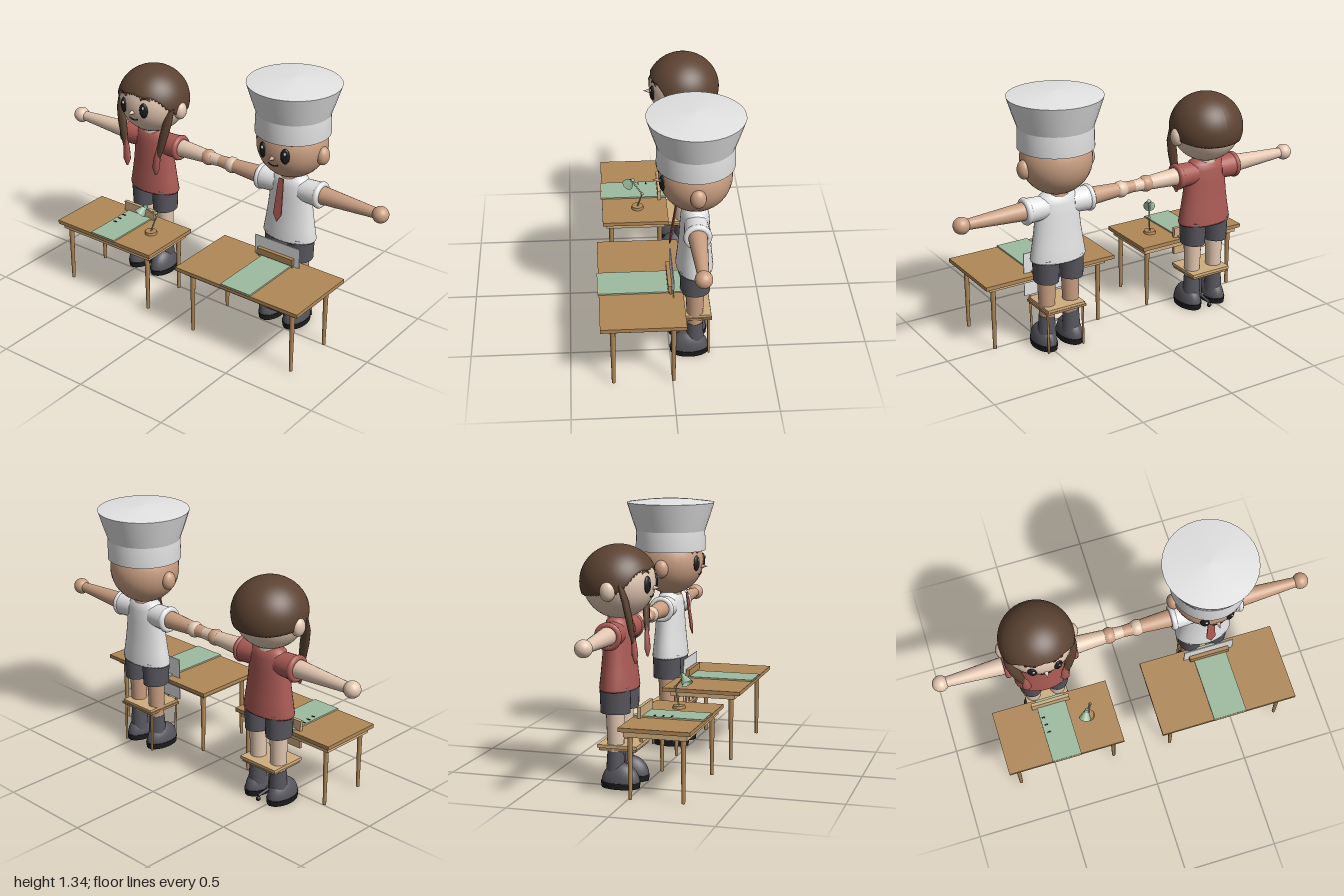
import * as THREE from 'three';

const mat = (name, color, extra = {}) => {
  const m = new THREE.MeshStandardMaterial({ color, ...extra });
  m.name = name;
  return m;
};

export function createModel() {
  const root = new THREE.Group();
  root.name = 'twoPeopleAtDesks';
  const D = { side: THREE.DoubleSide };
  const fair = mat('fairSkin', 0xe3c8b2), tan = mat('tanSkin', 0xc99f82);
  const red = mat('red', 0xab5b55, D), white = mat('white', 0xe4e4e4, D);
  const grey = mat('darkGrey', 0x55555c), black = mat('black', 0x1c1c1e);
  const wood = mat('wood', 0xb08858), pale = mat('paleWood', 0xd0ae80);
  const green = mat('green', 0x9dbb9f, D), brown = mat('brownHair', 0x5c4332, D);

  const add = (parent, name, geo, material, x = 0, y = 0, z = 0) => {
    const m = new THREE.Mesh(geo, material);
    m.name = name;
    m.position.set(x, y, z);
    parent.add(m);
    return m;
  };
  const group = (name, x = 0, y = 0, z = 0) => {
    const g = new THREE.Group();
    g.name = name;
    g.position.set(x, y, z);
    root.add(g);
    return g;
  };
  const box = (w, h, d) => new THREE.BoxGeometry(w, h, d);
  const cyl = (top, bottom, h, n = 20) => new THREE.CylinderGeometry(top, bottom, h, n);
  const ball = (rx, ry, rz) => new THREE.SphereGeometry(1, 28, 20).scale(rx, ry, rz);
  const lathe = pts => new THREE.LatheGeometry(pts.map(p => new THREE.Vector2(...p)), 36);
  // Round bar between two points
  const bar = (parent, name, a, b, r, material) => {
    const p = new THREE.Vector3(...a), q = new THREE.Vector3(...b);
    const m = add(parent, name, cyl(r, r, p.distanceTo(q), 10), material);
    m.position.copy(p).add(q).multiplyScalar(0.5);
    m.quaternion.setFromUnitVectors(new THREE.Vector3(0, 1, 0), q.sub(p).normalize());
    return m;
  };

  function person(name, x, skin, shirt) {
    const g = group(name, x, 0, -0.125);
    // Head and face
    add(g, 'head', ball(0.179, 0.178, 0.177), skin, 0, 1, 0);
    add(g, 'neck', cyl(0.055, 0.06, 0.06), skin, 0, 0.83, 0);
    add(g, 'nose', new THREE.ConeGeometry(0.014, 0.04, 12).rotateX(Math.PI / 2), skin, 0, 0.975, 0.187);
    add(g, 'mouth', new THREE.TorusGeometry(0.045, 0.003, 6, 14, 1.4)
      .rotateZ(-Math.PI / 2 - 0.7), black, 0, 0.975, 0.164);
    // Torso
    add(g, 'shirt', lathe([[0, 0.49], [0.146, 0.48], [0.15, 0.49], [0.138, 0.56], [0.126, 0.64],
      [0.118, 0.72], [0.11, 0.78], [0.095, 0.815], [0.06, 0.835], [0, 0.838]]).scale(1, 1, 0.62), shirt);
    for (const s of [-1, 1]) {
      const eye = add(g, 'eye', ball(0.023, 0.041, 0.012), black, s * 0.066, 0.997, 0.162);
      eye.rotation.y = s * 0.38;
      add(g, 'eyeGlint', ball(0.007, 0.009, 0.004), white, s * 0.066 + 0.005, 1.015, 0.173);
      const brow = add(g, 'eyebrow', new THREE.TorusGeometry(0.04, 0.005, 6, 12, 1.4)
        .rotateZ(Math.PI / 2 - 0.7), brown, s * 0.07, 1.022, 0.153);
      brow.rotation.y = s * 0.38;
      add(g, 'ear', ball(0.032, 0.048, 0.038), skin, s * 0.178, 0.973, 0);
      // Sleeve, arm and hand
      add(g, 'sleeve', cyl(0.064, 0.058, 0.11, 24).rotateZ(-s * Math.PI / 2), shirt, s * 0.127, 0.758, 0);
      add(g, 'sleeveCuff', new THREE.TorusGeometry(0.053, 0.016, 10, 28).rotateY(Math.PI / 2),
        shirt, s * 0.175, 0.758, 0);
      add(g, 'arm', cyl(0.026, 0.049, 0.35).rotateZ(-s * Math.PI / 2), skin, s * 0.32, 0.76, 0);
      add(g, 'hand', ball(0.042, 0.042, 0.042), skin, s * 0.515, 0.76, 0);
      // Shorts, leg and boot
      add(g, 'shortsLeg', cyl(0.066, 0.062, 0.13, 24).scale(1, 1, 1.18), grey, s * 0.069, 0.435, 0);
      add(g, 'leg', cyl(0.047, 0.039, 0.22), skin, s * 0.068, 0.275, 0);
      add(g, 'bootCuff', cyl(0.04, 0.048, 0.12), grey, s * 0.07, 0.122, 0);
      add(g, 'bootFoot', new THREE.SphereGeometry(1, 24, 10, 0, Math.PI * 2, 0, Math.PI / 2)
        .scale(0.058, 0.1, 0.097), grey, s * 0.075, 0.025, 0.027);
      add(g, 'bootSole', cyl(1, 0.96, 0.03, 28).scale(0.06, 1, 0.1), black, s * 0.075, 0.016, 0.026);
    }
    return g;
  }

  function table(name, x0, x1, z0, z1, top, inset) {
    const w = x1 - x0, d = z1 - z0;
    const g = group(name, (x0 + x1) / 2, 0, (z0 + z1) / 2);
    add(g, 'tableTop', box(w, 0.02, d), wood, 0, top - 0.01, 0);
    for (const s of [-1, 1]) {
      add(g, 'sideRail', box(0.02, 0.028, d - 2 * inset), pale, s * (w / 2 - inset - 0.01), top - 0.034, 0);
      add(g, 'longRail', box(w - 2 * inset, 0.028, 0.02), pale, 0, top - 0.034, s * (d / 2 - inset - 0.01));
      for (const t of [-1, 1])
        add(g, 'tableLeg', cyl(0.014, 0.009, top - 0.03, 10), wood,
          s * (w / 2 - inset - 0.03), (top - 0.03) / 2, t * (d / 2 - inset - 0.025));
    }
    return g;
  }

  // Girl with long hair
  const girl = person('girl', -0.445, fair, red);
  const hair = new THREE.SphereGeometry(1, 64, 24);
  const pos = hair.attributes.position, uv = hair.attributes.uv;
  for (let i = 0; i < pos.count; i++) {
    const a = uv.getX(i) * Math.PI * 2 - Math.PI, v = 1 - uv.getY(i); // a = angle from the front
    const k = THREE.MathUtils.smoothstep(Math.abs(a), 0.5, 1.5);
    const limit = 1.16 + 0.72 * k + 0.07 * Math.abs(Math.sin(a * 3.5)) * (1 - k)
      + 0.1 * THREE.MathUtils.smoothstep(Math.abs(a), 1.6, 2.6);
    const th = v * limit, r = v > 0.97 ? 0.178 : 0.19;
    pos.setXYZ(i, r * Math.sin(th) * Math.sin(a), r * Math.cos(th) * 0.95, r * Math.sin(th) * Math.cos(a));
  }
  hair.computeVertexNormals();
  add(girl, 'hairCap', hair, brown, 0, 1, -0.002);
  for (const s of [-1, 1]) {
    // Tapered pigtail hanging over the shoulder, ending in a red tie
    const lock = (name, rows, m) => {
      const geo = new THREE.CylinderGeometry(1, 1, 1, 12, rows.length - 1);
      const p = geo.attributes.position;
      for (let i = 0; i < p.count; i++) {
        const [cx, cy, cz, r] = rows[Math.round((0.5 - p.getY(i)) * (rows.length - 1))];
        p.setXYZ(i, s * cx + p.getX(i) * r, cy, cz + p.getZ(i) * r * 0.6);
      }
      geo.computeVertexNormals();
      add(girl, name, geo, m);
    };
    lock('pigtail', [[0.165, 1.0, 0.06, 0.02], [0.158, 0.93, 0.08, 0.026], [0.14, 0.85, 0.092, 0.027],
      [0.122, 0.77, 0.1, 0.022], [0.108, 0.7, 0.108, 0.008]], brown);
    lock('pigtailEnd', [[0.108, 0.78, 0.102, 0.006], [0.104, 0.72, 0.106, 0.02],
      [0.1, 0.66, 0.11, 0.024], [0.098, 0.62, 0.112, 0.006]], red);
  }

  // Cook with tall hat, tie and apron
  const cook = person('cook', 0.436, tan, white);
  add(cook, 'hatBand', lathe([[0.18, 1.06], [0.189, 1.06], [0.186, 1.165]]), white);
  add(cook, 'hatCrown', lathe([[0.186, 1.165], [0.21, 1.235], [0.235, 1.315]]), white);
  add(cook, 'hatTop', lathe([[0.235, 1.315], [0.12, 1.329], [0, 1.337]]), white);
  const tie = new THREE.Shape([[-0.013, 0], [0.013, 0], [0.016, -0.03], [0.024, -0.19], [0, -0.23],
    [-0.024, -0.19], [-0.016, -0.03]].map(p => new THREE.Vector2(...p)));
  add(cook, 'tie', new THREE.ExtrudeGeometry(tie, { depth: 0.006, bevelEnabled: false }),
    red, 0, 0.832, 0.088).rotation.x = -0.14;
  add(cook, 'apronSheet', box(0.27, 0.23, 0.005), white, 0, 0.368, 0.11);

  // Tables with green mats
  const small = table('girlTable', -0.755, -0.13, -0.035, 0.315, 0.355, 0.02);
  const large = table('cookTable', 0.07, 0.805, -0.065, 0.35, 0.376, 0.035);
  for (const [t, x, w, y, d] of [[small, 0, 0.155, 0.355, 0.357], [large, 0.004, 0.177, 0.376, 0.42]]) {
    add(t, 'matBacking', box(w, 0.004, d), pale, x, y + 0.002, 0.004);
    add(t, 'mat', box(w, 0.004, d - 0.008), green, x, y + 0.006, 0.002);
  }
  for (let i = 0; i < 3; i++)
    add(small, 'matDot', box(0.018, 0.003, 0.007), black, -0.06 + i * 0.004, 0.3645, -0.07 + i * 0.042);

  // Desk lamp
  const lamp = group('deskLamp', -0.272, 0.355, 0.125);
  add(lamp, 'lampBase', cyl(0.03, 0.033, 0.014), wood, 0, 0.007, 0);
  bar(lamp, 'lowerArm', [0, 0.01, 0], [0.02, 0.1, -0.025], 0.004, green);
  bar(lamp, 'upperArm', [0.02, 0.1, -0.025], [-0.012, 0.158, 0.025], 0.004, green);
  add(lamp, 'lampJoint', ball(0.008, 0.008, 0.008), wood, 0.02, 0.1, -0.025);
  bar(lamp, 'lampCap', [-0.008, 0.172, 0.022], [-0.014, 0.158, 0.03], 0.011, green);
  const shade = add(lamp, 'lampShade', new THREE.CylinderGeometry(0.012, 0.031, 0.042, 20, 1, true),
    green, -0.022, 0.146, 0.04);
  shade.rotation.set(-0.6, 0, -0.35);

  // Swivel chair
  const swivel = group('swivelChair', -0.445, 0, -0.105);
  add(swivel, 'seat', box(0.23, 0.016, 0.2), pale, 0, 0.208, 0);
  add(swivel, 'seatBase', box(0.215, 0.014, 0.185), wood, 0, 0.193, 0);
  add(swivel, 'backrest', box(0.205, 0.15, 0.018), pale, 0, 0.335, 0.108);
  bar(swivel, 'backPost', [0, 0.19, 0.085], [0, 0.33, 0.1], 0.009, wood);
  add(swivel, 'centrePost', cyl(0.009, 0.011, 0.15), grey, 0, 0.11, 0);
  for (let i = 0; i < 5; i++) {
    const a = i * Math.PI * 0.4 + Math.PI, x = Math.sin(a) * 0.09, z = Math.cos(a) * 0.09;
    bar(swivel, 'starFoot', [0, 0.04, 0], [x, 0.028, z], 0.007, grey);
    add(swivel, 'caster', ball(0.012, 0.013, 0.012), black, x, 0.013, z);
  }

  // Plain framed chair
  const chair = group('framedChair', 0.436, 0, -0.105);
  add(chair, 'seat', box(0.21, 0.014, 0.2), pale, 0, 0.232, 0);
  add(chair, 'seatRim', box(0.225, 0.012, 0.205), wood, 0, 0.22, 0);
  add(chair, 'backRail', box(0.215, 0.035, 0.02), wood, 0, 0.408, 0.106);
  for (const s of [-1, 1]) {
    bar(chair, 'frontPost', [s * 0.1, 0.06, 0.085], [s * 0.1, 0.42, 0.105], 0.006, wood);
    bar(chair, 'rearLeg', [s * 0.1, 0.0, -0.09], [s * 0.1, 0.22, -0.085], 0.006, wood);
    bar(chair, 'backSlat', [s * 0.04, 0.23, 0.095], [s * 0.04, 0.4, 0.105], 0.004, wood);
    bar(chair, 'frontFoot', [s * 0.1, 0, 0.083], [s * 0.1, 0.08, 0.085], 0.006, wood);
  }
  bar(chair, 'crossBar', [-0.1, 0.075, 0.086], [0.1, 0.075, 0.086], 0.005, wood);
  return root;
}
